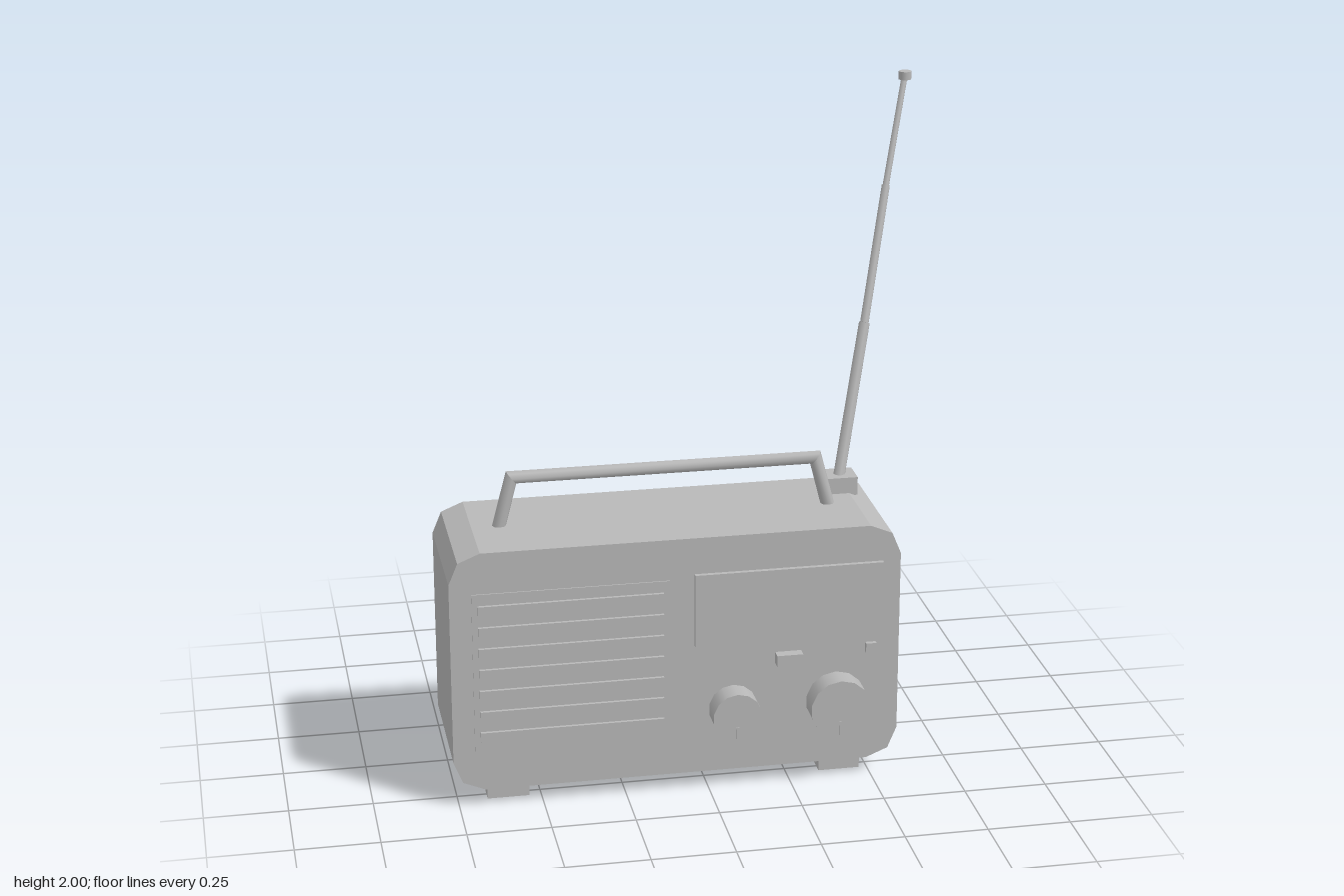
import * as THREE from 'three';

const grey = new THREE.MeshStandardMaterial({ color: 0xb8b8b8 });
grey.name = 'plain grey';

export function createModel() {
  const radio = new THREE.Group();
  radio.name = 'portableRadio';
  const CX = -0.0925, CZ = 0.115, FRONT = 0.325, BACK = -0.095;

  const add = (name, geometry) => {
    const mesh = new THREE.Mesh(geometry, grey);
    mesh.name = name;
    radio.add(mesh);
    return mesh;
  };

  // Box given by its limits on each axis
  const box = (name, x0, x1, y0, y1, z0, z1) =>
    add(name, new THREE.BoxGeometry(x1 - x0, y1 - y0, z1 - z0))
      .position.set((x0 + x1) / 2, (y0 + y1) / 2, (z0 + z1) / 2);

  // Tapered rod between two points
  const rod = (name, a, b, rA, rB, sides) => {
    const dir = b.clone().sub(a);
    const mesh = add(name, new THREE.CylinderGeometry(rB, rA, dir.length(), sides));
    mesh.position.copy(a).add(b).multiplyScalar(0.5);
    mesh.quaternion.setFromUnitVectors(new THREE.Vector3(0, 1, 0), dir.normalize());
  };

  // Case: rectangle with two-step corners, extruded front to back
  const L = -0.765, R = 0.58, B = 0.053, T = 0.807, r = 0.093;
  const outline = new THREE.Shape();
  outline.absarc(R - r, T - r, r, 0, Math.PI / 2);
  outline.absarc(L + r, T - r, r, Math.PI / 2, Math.PI);
  outline.absarc(L + r, B + r, r, Math.PI, Math.PI * 1.5);
  outline.absarc(R - r, B + r, r, Math.PI * 1.5, Math.PI * 2);
  const caseGeometry = new THREE.ExtrudeGeometry(outline, {
    depth: FRONT - BACK, bevelEnabled: false, curveSegments: 1,
  });
  add('case', caseGeometry).position.z = BACK;

  // Back cover
  box('batteryCover', -0.47, 0.283, 0.17, 0.546, -0.108, BACK);

  // Feet
  for (const sx of [-1, 1]) for (const sz of [-1, 1]) {
    const x = CX + sx * 0.506, z = CZ + sz * 0.125;
    box('foot', x - 0.063, x + 0.063, 0, B + 0.005, z - 0.041, z + 0.041);
  }

  // Speaker panel and slats
  box('speakerPanel', -0.7, -0.115, 0.18, 0.68, FRONT, 0.329);
  for (let i = 0; i < 7; i++) {
    const y = 0.229 + i * 0.067;
    box('speakerSlat', -0.683, -0.135, y - 0.014, y + 0.014, FRONT, 0.339);
  }

  // Dial window, switch and lamp
  box('dialWindow', -0.042, 0.526, 0.466, 0.694, FRONT, 0.339);
  box('switch', 0.202, 0.281, 0.39, 0.425, FRONT, 0.357);
  box('lamp', 0.477, 0.509, 0.405, 0.435, FRONT, 0.339);

  // Knobs with pointer marks
  for (const [x, radius, sides] of [[0.075, 0.074, 14], [0.389, 0.091, 14]]) {
    const knob = add('knob', new THREE.CylinderGeometry(radius, radius, 0.073, sides));
    knob.rotation.x = Math.PI / 2;
    knob.position.set(x, 0.255, FRONT + 0.0365);
    box('knobPointer', x - 0.005, x + 0.005, 0.255 - radius * 0.92, 0.255 - radius * 0.42, 0.396, 0.401);
  }

  // Handle: mitred tube made of two sloping legs and a bar.
  // Each ring has a centre and a half-width vector in the xy plane.
  const rings = [
    [CX - 0.498, 0.8, -0.021, 0],
    [CX - 0.4575, 0.955, -0.0153, 0.02],
    [CX + 0.4575, 0.955, 0.0153, 0.02],
    [CX + 0.498, 0.8, 0.021, 0],
  ];
  const N = 8;
  for (let s = 0; s < 3; s++) {
    const positions = [], index = [];
    for (const [x, y, mx, my] of [rings[s], rings[s + 1]]) {
      for (let i = 0; i < N; i++) {
        const a = (i / N) * Math.PI * 2, c = Math.cos(a);
        positions.push(x + mx * c, y + my * c, CZ + 0.02 * Math.sin(a));
      }
    }
    for (let i = 0; i < N; i++) {
      const j = (i + 1) % N;
      index.push(i, j, N + i, j, N + j, N + i);
    }
    const section = new THREE.BufferGeometry();
    section.setAttribute('position', new THREE.Float32BufferAttribute(positions, 3));
    section.setIndex(index);
    section.computeVertexNormals();
    add(s === 1 ? 'handleBar' : 'handleLeg', section);
  }

  // Telescopic antenna on its mount
  box('antennaMount', 0.409, 0.513, 0.8, 0.857, -0.034, 0.052);
  const joints = [
    new THREE.Vector3(0.464, 0.85, 0.012),
    new THREE.Vector3(0.57, 1.287, -0.131),
    new THREE.Vector3(0.664, 1.675, -0.272),
    new THREE.Vector3(0.744, 1.985, -0.382),
  ];
  const radii = [0.018, 0.0135, 0.01];
  for (let i = 0; i < 3; i++) {
    rod('antennaSection', joints[i], joints[i + 1], radii[i], radii[i] * 0.95, 8);
  }
  add('antennaTip', new THREE.CylinderGeometry(0.02, 0.02, 0.025, 8)).position.set(0.745, 1.9875, -0.382);

  return radio;
}
